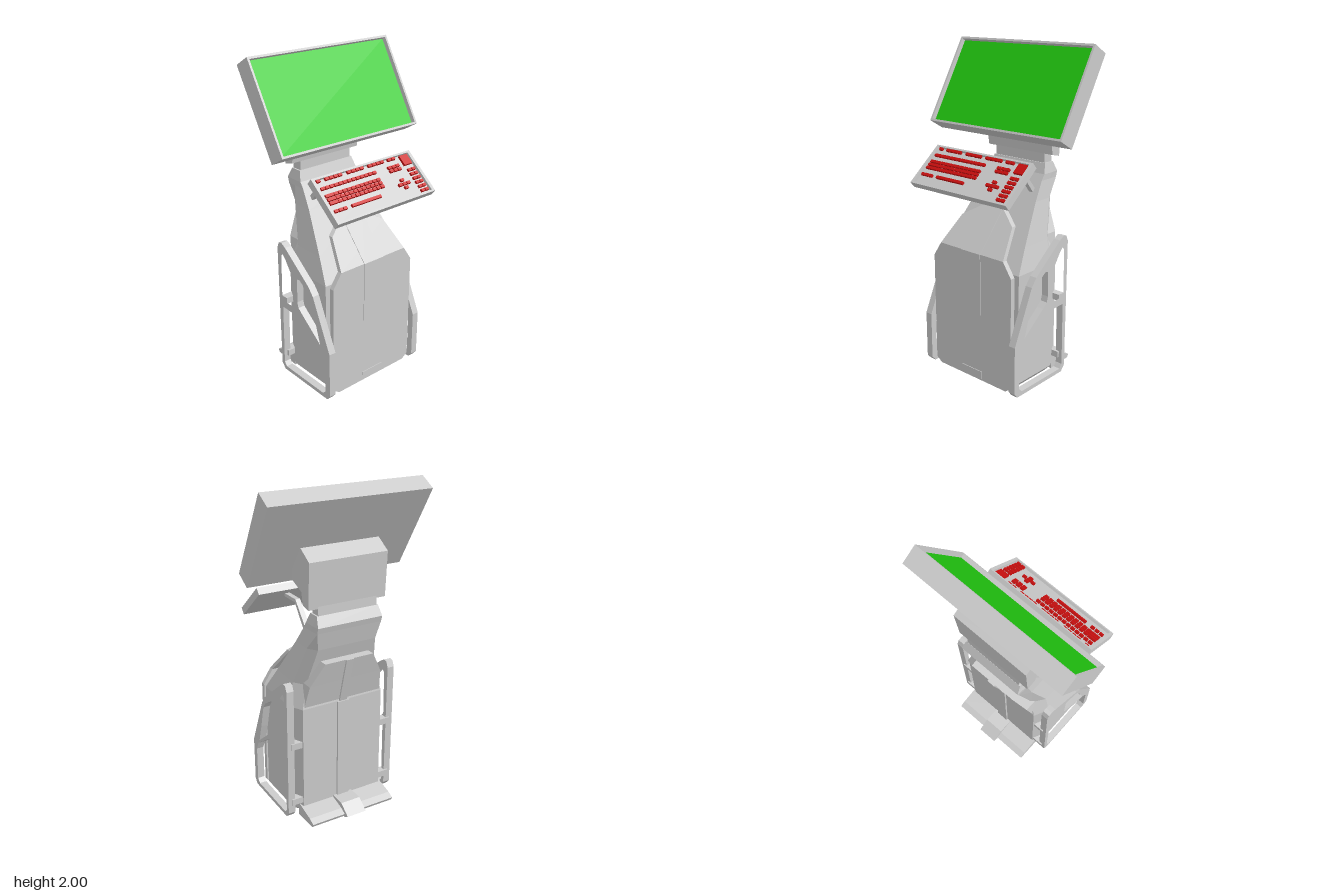
import * as THREE from 'three';

const paint = (color, side = THREE.FrontSide) => new THREE.MeshStandardMaterial({ color, flatShading: true, side });
const grey = paint(0xcccccc);
const red = paint(0xcc1010);
const green = paint(0x22cc11);

function add(parent, name, geometry, material = grey) {
  const mesh = new THREE.Mesh(geometry, material);
  mesh.name = name;
  parent.add(mesh);
  return mesh;
}

function box(parent, name, size, pos, material = grey) {
  const mesh = add(parent, name, new THREE.BoxGeometry(...size), material);
  mesh.position.set(...pos);
  return mesh;
}

// Closed skin over rings of [x, y, z], listed counterclockwise from above, bottom to top
function loft(rings) {
  const p = [];
  const n = rings[0].length;
  const tri = (a, b, c) => p.push(...a, ...b, ...c);
  for (let r = 0; r < rings.length - 1; r++) {
    const lo = rings[r], hi = rings[r + 1];
    for (let i = 0; i < n; i++) {
      const j = (i + 1) % n;
      tri(lo[i], lo[j], hi[j]);
      tri(lo[i], hi[j], hi[i]);
    }
  }
  const bottom = rings[0], top = rings[rings.length - 1];
  for (let i = 1; i < n - 1; i++) {
    tri(bottom[0], bottom[i + 1], bottom[i]);
    tri(top[0], top[i], top[i + 1]);
  }
  const g = new THREE.BufferGeometry();
  g.setAttribute('position', new THREE.Float32BufferAttribute(p, 3));
  g.computeVertexNormals();
  return g;
}

const slab = (y, w, front, back) => [[-w, y, front], [w, y, front], [w, y, back], [-w, y, back]];

// Side profile of [z, y] points extruded along x, with optional holes
function profile(points, width, holes = []) {
  const toPath = (pts) => pts.map(([z, y]) => new THREE.Vector2(z, y));
  const shape = new THREE.Shape(toPath(points));
  holes.forEach((h) => shape.holes.push(new THREE.Path(toPath(h))));
  const g = new THREE.ExtrudeGeometry(shape, { depth: width, bevelEnabled: false });
  return g.translate(0, 0, -width / 2).rotateY(-Math.PI / 2);
}

function buildBody(root) {
  // y, half width, front z, chamfer z, back z, back half width
  const levels = [
    [0.01, 0.28, 0.17, -0.1, -0.18, 0.22],
    [0.05, 0.315, 0.193, -0.11, -0.2, 0.27],
    [0.73, 0.315, 0.193, -0.11, -0.2, 0.27],
    [0.87, 0.28, 0.1, -0.1, -0.17, 0.23],
    [1.1, 0.23, -0.053, -0.18, -0.24, 0.19],
    [1.21, 0.215, -0.125, -0.2, -0.267, 0.21],
    [1.245, 0.215, -0.148, -0.22, -0.277, 0.21],
    [1.305, 0.2, -0.172, -0.21, -0.245, 0.2],
  ];
  add(root, 'body', loft(levels.map(([y, w, f, c, b, bw]) =>
    [[-w, y, f], [w, y, f], [w, y, c], [bw, y, b], [-bw, y, b], [-w, y, c]])));

  // Front panel standing slightly off the body
  const panel = [[0.01, 0.27, 0.255], [0.04, 0.31, 0.255], [0.73, 0.31, 0.255],
    [0.82, 0.25, 0.255], [0.98, 0.2, 0.119], [1.05, 0.08, 0.06]];
  add(root, 'frontPanel', loft(panel.map(([y, w, z]) => slab(y, w, z, z - 0.03))));
  add(root, 'frontCentreStrip', loft([[0.44, 0.259], [0.82, 0.259], [1.05, 0.064]]
    .map(([y, z]) => slab(y, 0.075, z, z - 0.02))));
  box(root, 'frontFootTab', [0.16, 0.05, 0.02], [0, 0.045, 0.249]);
  for (const y of [0.15, 0.65]) box(root, 'panelStandoff', [0.1, 0.03, 0.06], [0, y, 0.205]);

  // Leaning back panel and central spine
  add(root, 'backPanel', loft([[0.73, 0.26, -0.195], [0.88, 0.24, -0.232], [1.02, 0.16, -0.27]]
    .map(([y, w, z]) => slab(y, w, -0.15, z))));
  add(root, 'backPanelRidge', loft([[0.73, -0.205], [1.02, -0.28]].map(([y, z]) => slab(y, 0.025, -0.18, z))));
  box(root, 'backSpine', [0.08, 0.68, 0.02], [0, 0.39, -0.202]);

  // Rear foot: two wings and a longer middle
  for (const s of [-1, 1]) {
    const wing = profile([[-0.16, 0], [-0.33, 0.01], [-0.34, 0.03], [-0.3, 0.05], [-0.16, 0.085]], 0.225);
    add(root, 'footWing', wing).position.x = s * 0.1725;
  }
  add(root, 'footMiddle', profile([[-0.16, 0], [-0.345, 0.01], [-0.375, 0.03], [-0.3, 0.085], [-0.16, 0.085]], 0.13));
}

function buildSideFrames(root) {
  const outline = [[0.285, 0.335], [0.285, 0.04], [0.26, 0.01], [-0.155, 0.01], [-0.185, 0.045],
    [-0.19, 0.86], [-0.175, 0.895], [-0.15, 0.9], [-0.115, 0.88], [0.1, 0.71], [0.14, 0.66]];
  const holes = [
    [[0.2, 0.365], [0.165, 0.48], [0.125, 0.63], [0.1, 0.665], [0.015, 0.72], [-0.005, 0.715],
      [-0.01, 0.56], [0.0, 0.525], [0.035, 0.495]],
    [[-0.155, 0.815], [-0.14, 0.83], [-0.12, 0.81], [-0.065, 0.73], [-0.055, 0.7],
      [-0.045, 0.55], [-0.07, 0.51], [-0.14, 0.51], [-0.16, 0.54]],
    [[0.245, 0.28], [0.22, 0.335], [0.065, 0.44], [0.02, 0.46], [-0.155, 0.465],
      [-0.16, 0.06], [-0.14, 0.035], [0.22, 0.035], [0.245, 0.06]],
  ];
  const g = profile(outline, 0.045, holes);
  for (const s of [-1, 1]) {
    add(root, s > 0 ? 'leftSideFrame' : 'rightSideFrame', g).position.x = s * 0.345;
    for (const y of [0.12, 0.5]) box(root, 'frameBracket', [0.09, 0.04, 0.05], [s * 0.3, y, -0.17]);
  }
}

function buildMonitor(root) {
  add(root, 'neck', profile([[-0.178, 1.29], [-0.245, 1.29], [-0.24, 1.37], [-0.178, 1.37]], 0.38));
  add(root, 'monitorMount', profile([[-0.16, 1.675], [-0.255, 1.615], [-0.24, 1.345], [-0.178, 1.36],
    [-0.165, 1.43], [-0.055, 1.475], [-0.06, 1.53]], 0.5));

  const monitor = new THREE.Group();
  monitor.name = 'monitor';
  monitor.position.set(0, 1.7275, -0.11);
  monitor.rotation.x = -0.527;
  root.add(monitor);
  const W = 1.01, H = 0.567, D = 0.113, rim = 0.013, recess = 0.03;
  box(monitor, 'monitorCase', [W, H, D - recess], [0, 0, -recess / 2]);
  for (const s of [-1, 1]) {
    box(monitor, 'bezelSide', [rim, H, recess], [s * (W - rim) / 2, 0, (D - recess) / 2]);
    box(monitor, 'bezelEdge', [W - 2 * rim, rim, recess], [0, s * (H - rim) / 2, (D - recess) / 2]);
  }
  box(monitor, 'screen', [W - 2 * rim, H - 2 * rim, 0.004], [0, 0, D / 2 - recess + 0.001], green);
}

function buildKeyboard(root) {
  // Bent arms from the body to the tray
  const arm = profile([[0.17, 1.3], [0.17, 1.32], [0.03, 1.32], [-0.1, 1.165], [-0.085, 1.14], [0.04, 1.3]].reverse(), 0.03);
  for (const s of [-1, 1]) add(root, 'keyboardArm', arm).position.x = s * 0.17;

  const tray = new THREE.Group();
  tray.name = 'keyboard';
  tray.position.set(0, 1.275, 0.247);
  tray.rotation.x = 0.698;
  root.add(tray);
  const W = 0.745, L = 0.295;
  box(tray, 'trayFloor', [W, 0.027, L], [0, -0.0085, 0]);
  for (const s of [-1, 1]) {
    box(tray, 'traySide', [0.02, 0.018, L], [s * (W - 0.02) / 2, 0.013, 0]);
    box(tray, 'trayEdge', [W - 0.04, 0.018, 0.012], [0, 0.013, s * (L - 0.012) / 2]);
  }

  // Keys are placed by their depth as seen from straight above
  const key = (x, z, w = 0.025, d = 0.017) =>
    box(tray, 'key', [w, 0.014, d], [x, 0.012, (z - 0.255) / 0.766], red);
  const row = (x, z, count) => {
    for (let i = 0; i < count; i++) key(x + i * 0.0315, z);
  };
  row(-0.33, 0.157, 1);
  for (const x of [-0.27, -0.11, 0.047]) row(x, 0.157, 4);
  row(0.2, 0.157, 2);
  row(-0.33, 0.195, 13);
  for (const z of [0.195, 0.213, 0.288]) row(0.169, z, 3);
  for (const z of [0.232, 0.25, 0.268]) {
    key(-0.314, z, 0.056);
    row(-0.27, z, 11);
  }
  row(-0.33, 0.307, 3);
  key(-0.11, 0.307, 0.215);
  for (const z of [0.268, 0.307]) key(0.2, z);
  for (let i = 0; i < 6; i++) row(0.297, 0.232 + i * 0.0225, 2);
  key(0.312, 0.18, 0.062, 0.066);
}

export function createModel() {
  const root = new THREE.Group();
  root.name = 'terminal';
  buildBody(root);
  buildSideFrames(root);
  buildMonitor(root);
  buildKeyboard(root);
  return root;
}
